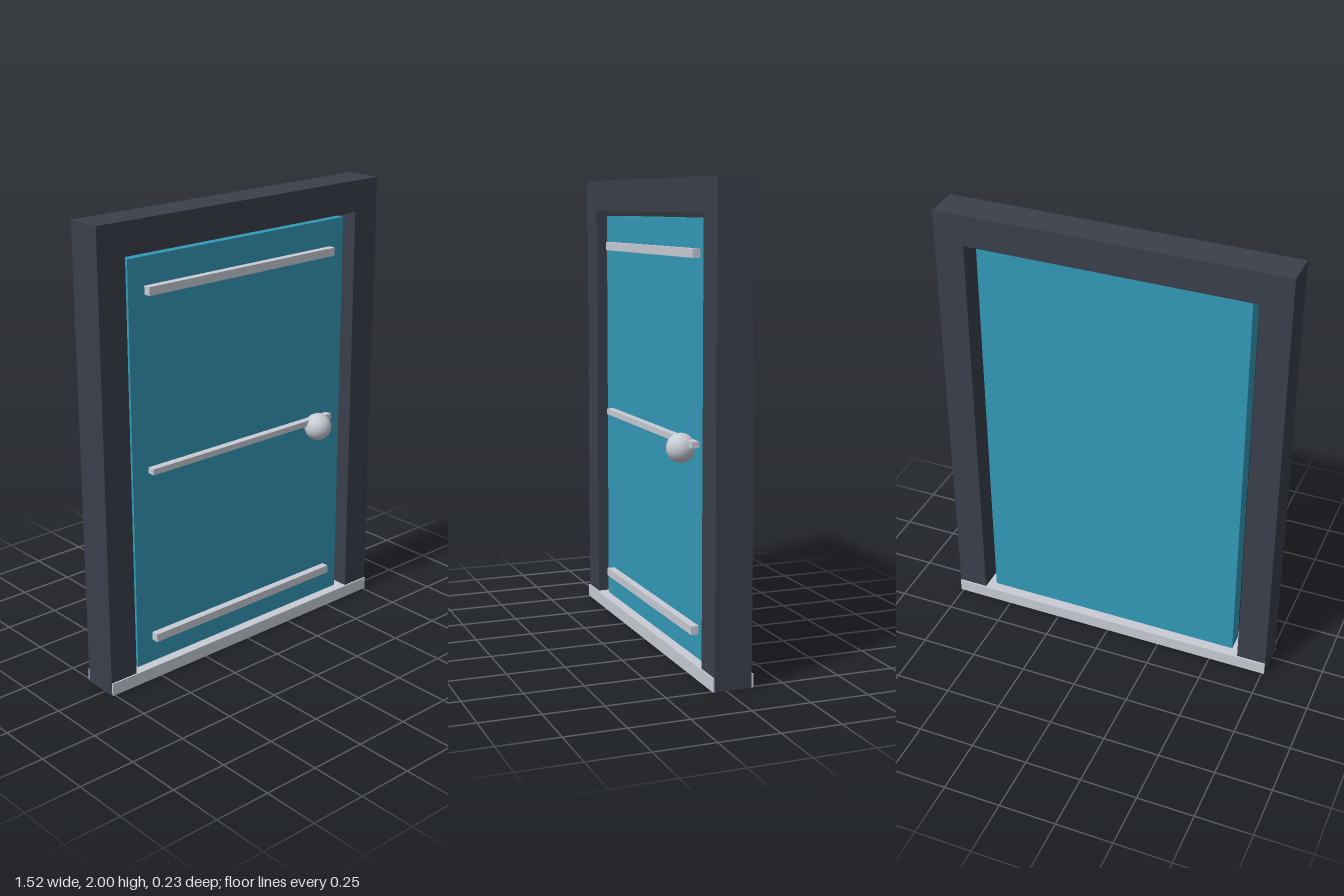
import * as THREE from 'three';

const paint = (color) => new THREE.MeshStandardMaterial({ color });

export function createModel() {
  const model = new THREE.Group();
  const dark = paint(0x3a3f4b);
  const blue = paint(0x3399b8);
  const metal = paint(0xc8ccd4);

  // Box given by its lower and upper corners
  const box = (name, material, [x0, y0, z0], [x1, y1, z1]) => {
    const mesh = new THREE.Mesh(new THREE.BoxGeometry(x1 - x0, y1 - y0, z1 - z0), material);
    mesh.position.set((x0 + x1) / 2, (y0 + y1) / 2, (z0 + z1) / 2);
    mesh.name = name;
    model.add(mesh);
  };

  // Frame: two posts and a lintel between them
  const back = -0.109, front = 0.05;
  box('leftPost', dark, [0.63, 0, back], [0.762, 2, front]);
  box('rightPost', dark, [-0.762, 0, back], [-0.63, 2, front]);
  box('lintel', dark, [-0.63, 1.862, back], [0.63, 2, front]);

  // Threshold, a little deeper than the frame
  box('threshold', metal, [-0.761, 0.001, -0.117], [0.761, 0.057, 0.057]);

  // Door panel set back inside the frame
  box('doorPanel', blue, [-0.593, 0.045, -0.07], [0.593, 1.84, 0.013]);

  // Horizontal trim bars on the front of the panel
  for (const [name, y0, y1] of [
    ['topBar', 1.686, 1.722],
    ['middleBar', 0.93, 0.956],
    ['bottomBar', 0.161, 0.197],
  ]) box(name, metal, [-0.512, y0, 0.005], [0.512, y1, 0.046]);

  // Round door knob
  const knob = new THREE.Mesh(new THREE.SphereGeometry(0.061, 24, 16), metal);
  knob.position.set(0.42, 0.919, 0.056);
  knob.name = 'knob';
  model.add(knob);

  return model;
}
